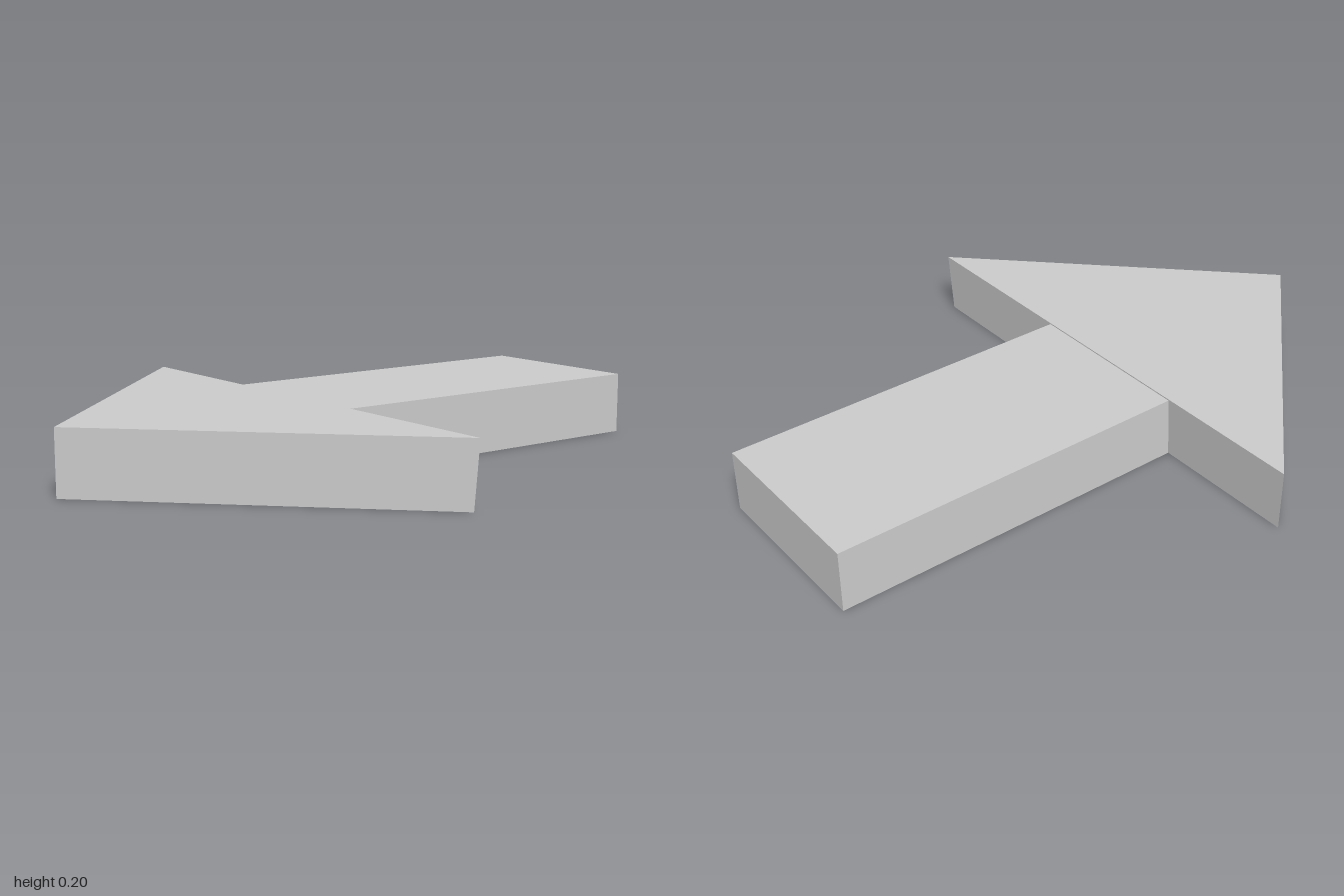
import * as THREE from 'three';

const TOP = 0.307, BOTTOM = 0.104, TIP = 1, BACK = 0.17, HALF = 0.826;

export function createModel() {
  const group = new THREE.Group();
  group.name = 'arrow';
  const material = new THREE.MeshStandardMaterial({ color: 0xcccccc, flatShading: true });

  // Arrow head: a triangular slab whose underside shrinks slightly towards the tip
  const outline = new THREE.Shape([
    new THREE.Vector2(-HALF, BACK),
    new THREE.Vector2(HALF, BACK),
    new THREE.Vector2(0, TIP),
  ]);
  const headGeometry = new THREE.ExtrudeGeometry(outline, { depth: TOP - BOTTOM, bevelEnabled: false });
  headGeometry.rotateX(Math.PI / 2).translate(0, TOP, 0);
  const p = headGeometry.attributes.position;
  const taper = 0.988;
  for (let i = 0; i < p.count; i++) {
    if (p.getY(i) > (TOP + BOTTOM) / 2) continue;
    p.setX(i, p.getX(i) * taper);
    p.setZ(i, TIP - (TIP - p.getZ(i)) * taper);
  }
  headGeometry.computeVertexNormals();
  const head = new THREE.Mesh(headGeometry, material);
  head.name = 'arrowHead';
  group.add(head);

  // Shaft: a flat bar, set slightly off centre, running to the back of the head
  const left = 0.24, right = -0.34, end = -1, join = 0.18, shaftTop = 0.303;
  const shaft = new THREE.Mesh(
    new THREE.BoxGeometry(left - right, shaftTop - BOTTOM, join - end), material);
  shaft.position.set((left + right) / 2, (shaftTop + BOTTOM) / 2, (join + end) / 2);
  shaft.name = 'shaft';
  group.add(shaft);

  return group;
}
